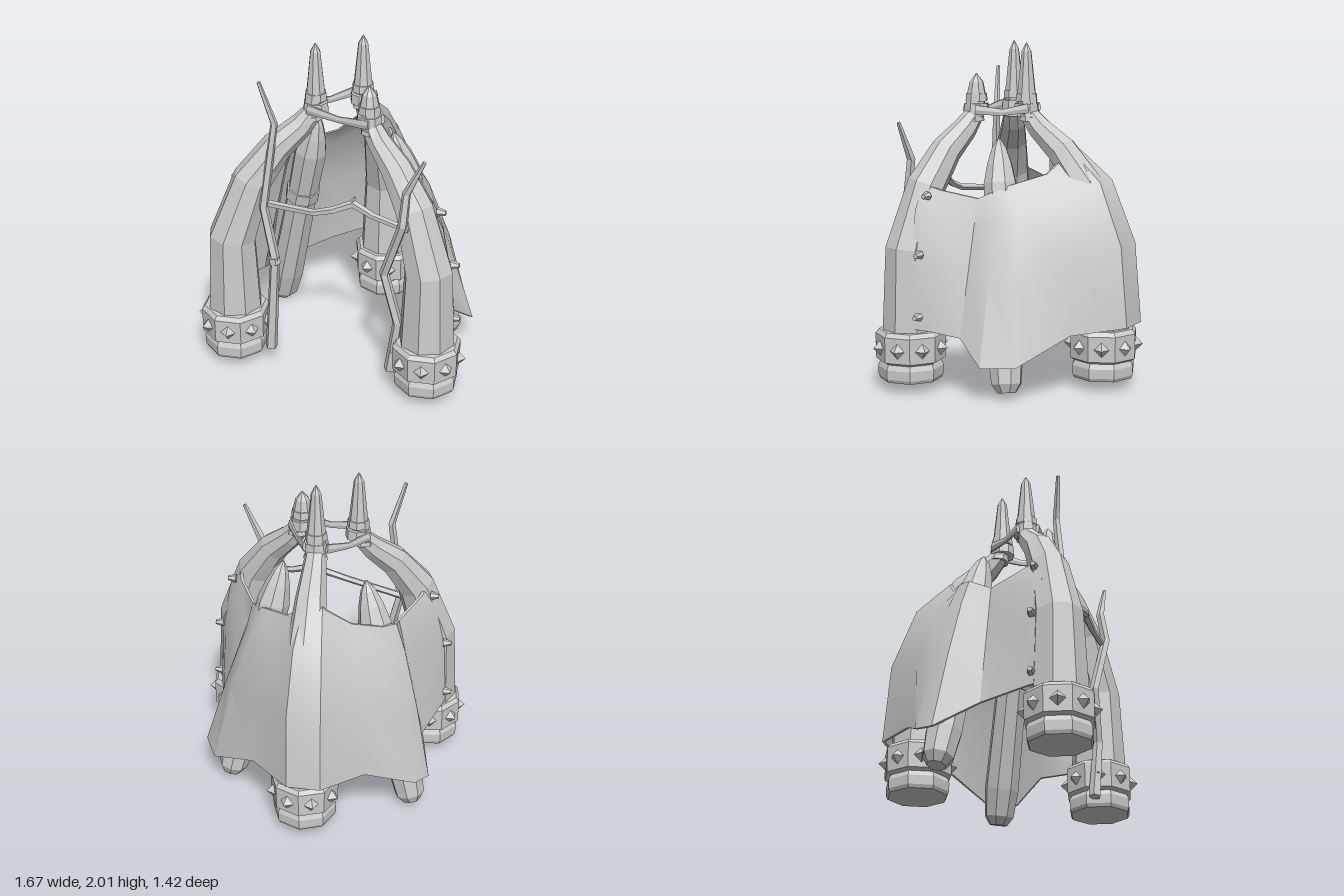
import * as THREE from 'three';
import { toCreasedNormals } from 'three/addons/utils/BufferGeometryUtils.js';

const flat = new THREE.MeshStandardMaterial({ color: 0xcccccc, flatShading: true });
const smooth = new THREE.MeshStandardMaterial({ color: 0xcccccc, side: THREE.DoubleSide });
const V = (x, y, z) => new THREE.Vector3(x, y, z);

function add(parent, name, geometry, material = flat) {
  const mesh = new THREE.Mesh(geometry, material);
  mesh.name = name;
  parent.add(mesh);
  return mesh;
}

// Joins closed cross-sections into a capped skin
function stitch(rings) {
  const n = rings[0].length, idx = [], last = (rings.length - 1) * n;
  for (let i = 0; i < rings.length - 1; i++) {
    for (let j = 0; j < n; j++) {
      const a = i * n + j, b = i * n + (j + 1) % n;
      idx.push(a, b, b + n, a, b + n, a + n);
    }
  }
  for (let j = 1; j < n - 1; j++) idx.push(0, j + 1, j, last, last + j, last + j + 1);
  const g = new THREE.BufferGeometry().setFromPoints(rings.flat());
  g.setIndex(idx);
  const out = g.toNonIndexed();
  out.computeVertexNormals();
  return out;
}

// Bent, tapering limb through [x, y, z, radius] stations
function limb(stations, sides = 8, squash = 1) {
  const p = stations.map(s => V(s[0], s[1], s[2]));
  const span = p[p.length - 1].clone().sub(p[0]).normalize();
  const ref = Math.abs(span.y) > 0.6 ? V(0, 0, 1) : V(0, 1, 0);
  return stitch(p.map((c, i) => {
    const t = p[Math.min(i + 1, p.length - 1)].clone().sub(p[Math.max(i - 1, 0)]).normalize();
    const u = ref.clone().cross(t).normalize(), v = t.clone().cross(u);
    return Array.from({ length: sides }, (_, j) => {
      const a = j / sides * Math.PI * 2, r = stations[i][3];
      return c.clone().addScaledVector(u, Math.cos(a) * r * squash).addScaledVector(v, Math.sin(a) * r);
    });
  }));
}

// Tusk: curved horn, studded foot cuff and bindings near the tip
function tusk(parent, name, base, top, tipY, turn) {
  const g = new THREE.Group();
  g.name = name;
  parent.add(g);
  const at = (y, f, r) => [base[0] + (top[0] - base[0]) * f, y, base[1] + (top[1] - base[1]) * f, r];
  add(g, 'horn', limb([
    at(0.2, 0, 0.165), at(0.36, 0, 0.165), at(0.82, 0, 0.143), at(1.18, 0.25, 0.115),
    at(1.38, 0.55, 0.092), at(1.5, 0.83, 0.072), at(1.58, 0.96, 0.06), at(1.7, 1, 0.057),
    at(tipY - 0.05, 1, tipY > 1.9 ? 0.03 : 0.042), at(tipY, 1, 0.003)]));

  const foot = new THREE.Group();
  foot.name = 'footCuff';
  foot.position.set(base[0], 0, base[1]);
  foot.rotation.y = turn;
  g.add(foot);
  const profile = [[0, 0.055], [0.18, 0.055], [0.19, 0.075], [0.192, 0.13], [0.178, 0.16],
    [0.203, 0.175], [0.205, 0.325], [0.185, 0.35], [0.12, 0.355]];
  add(foot, 'cuff', new THREE.LatheGeometry(profile.map(q => new THREE.Vector2(...q)), 8));
  for (let i = 0; i < 8; i++) {
    const arm = new THREE.Group();
    arm.rotation.y = (i + 0.5) * Math.PI / 4;
    foot.add(arm);
    const spike = add(arm, 'cuffSpike', new THREE.ConeGeometry(0.05, 0.05, 4));
    spike.rotation.x = Math.PI / 2;
    spike.position.set(0, 0.25, 0.208);
  }
  for (const [y, f, r, h] of [[1.555, 0.94, 0.072, 0.025], [1.615, 1, 0.077, 0.06], [1.68, 1, 0.067, 0.045]]) {
    const c = at(y, f);
    const ring = add(g, 'tipBinding', new THREE.CylinderGeometry(r * 0.94, r, h, 8));
    ring.position.set(c[0], y, c[2]);
  }
}

// Leaning, sharpened log with a binding at mid height
function log(parent, name, foot, tip) {
  const g = new THREE.Group();
  g.name = name;
  parent.add(g);
  const a = V(...foot), b = V(...tip);
  const at = (t, r) => [...a.clone().lerp(b, t).toArray(), r];
  add(g, 'shaft', limb([at(0.005, 0.055), at(0.04, 0.09), at(0.15, 0.105), at(0.6, 0.095), at(0.82, 0.1),
    at(0.9, 0.075), at(0.96, 0.045), at(1, 0.008)], 8));
  add(g, 'logBinding', limb([at(0.57, 0.106), at(0.62, 0.106)], 8));
}

export function createModel() {
  const model = new THREE.Group();
  model.name = 'tuskTent';

  tusk(model, 'backTusk', [0.025, -0.505], [0.04, 0], 2, 0);
  tusk(model, 'rightTusk', [-0.61, 0.47], [-0.175, 0.2], 2, -0.25);
  tusk(model, 'leftTusk', [0.6, 0.47], [0.17, 0.265], 1.82, -0.25);

  log(model, 'rightLog', [-0.59, 0, -0.22], [-0.26, 1.43, -0.04]);
  log(model, 'leftLog', [0.56, 0.02, -0.15], [0.25, 1.45, 0.07]);

  // Straps tying the three tips together
  const straps = [
    [[-0.2, 1.62, 0.275, 0.032], [0, 1.595, 0.295, 0.022], [0.19, 1.61, 0.335, 0.032]],
    [[0.1, 1.62, -0.045, 0.032], [0.165, 1.595, 0.09, 0.022], [0.24, 1.61, 0.235, 0.032]],
    [[-0.03, 1.62, -0.045, 0.032], [-0.14, 1.595, 0.06, 0.022], [-0.245, 1.61, 0.165, 0.032]]];
  for (const s of straps) add(model, 'tipStrap', limb(s, 6, 0.4));

  // Branch frame of the entrance
  add(model, 'rightBranch', limb([[-0.37, 0.1, 0.5, 0.037], [-0.33, 0.73, 0.5, 0.03], [-0.405, 1.05, 0.47, 0.028],
    [-0.345, 1.57, 0.42, 0.022], [-0.42, 1.83, 0.45, 0.012]], 5));
  add(model, 'leftBranch', limb([[0.38, 0.1, 0.48, 0.037], [0.43, 0.45, 0.5, 0.03], [0.345, 0.77, 0.5, 0.03],
    [0.47, 1.14, 0.56, 0.028], [0.48, 1.33, 0.53, 0.026], [0.585, 1.55, 0.545, 0.012]], 5));
  add(model, 'crossBranch', limb([[-0.42, 1.06, 0.44, 0.022], [-0.07, 1.1, 0.52, 0.02], [0.04, 1.135, 0.515, 0.022],
    [0.155, 1.185, 0.49, 0.026], [0.28, 1.14, 0.51, 0.02], [0.5, 1.11, 0.545, 0.018]], 5));
  add(model, 'twig', limb([[0.13, 1.17, 0.495, 0.018], [0.165, 1.225, 0.485, 0.008]], 5));
  add(model, 'branchKnot', limb([[-0.33, 0.7, 0.5, 0.036], [-0.335, 0.74, 0.5, 0.036]], 6));

  // Hide: columns of [top, bottom, outward bulge] from the left tusk round the back to the right
  const columns = [
    [[0.585, 1.2, 0.385], [0.735, 0.38, 0.385], 0.05],
    [[0.56, 1.17, 0.28], [0.705, 0.37, 0.28], 0.04],
    [[0.45, 1.12, 0.1], [0.66, 0.34, 0.1], 0],
    [[0.39, 1.18, -0.02], [0.73, 0.2, -0.07], 0.02],
    [[0.31, 1.21, -0.1], [0.64, 0.2, -0.25], 0.05],
    [[0.18, 1.25, -0.21], [0.35, 0.35, -0.45], 0.08],
    [[0.06, 1.38, -0.31], [0.1, 0.37, -0.69], 0.14],
    [[-0.05, 1.38, -0.31], [-0.1, 0.37, -0.69], 0.14],
    [[-0.21, 1.25, -0.24], [-0.33, 0.35, -0.47], 0.08],
    [[-0.38, 1.2, -0.16], [-0.62, 0.22, -0.33], 0.03],
    [[-0.45, 1.18, -0.08], [-0.69, 0.2, -0.22], 0.02],
    [[-0.45, 1.12, 0.05], [-0.62, 0.34, 0.03], 0],
    [[-0.56, 1.17, 0.28], [-0.7, 0.37, 0.28], 0.04],
    [[-0.585, 1.2, 0.385], [-0.735, 0.38, 0.385], 0.05]];
  const rows = [[0, 0], [0.17, 0.95], [0.53, 1], [1, 0]];
  const rings = columns.map(([top, bottom, bulge]) => {
    const out = V(bottom[0], 0, bottom[2] * (bottom[2] > 0 ? 0.3 : 1)).normalize();
    const outer = rows.map(([t, w]) => V(...top).lerp(V(...bottom), t).addScaledVector(out, bulge * w));
    const inner = outer.map(q => q.clone().addScaledVector(out, -0.018)).reverse();
    return [...outer, ...inner];
  });
  add(model, 'hideCover', toCreasedNormals(stitch(rings), 0.5), smooth);

  // Pegs pinning the hide to the front tusks
  for (const s of [-1, 1]) {
    for (const [x, y] of [[0.63, 1.14], [0.72, 0.81], [0.735, 0.45]]) {
      const peg = add(model, 'hidePeg', new THREE.CylinderGeometry(0.015, 0.027, 0.05, 6));
      peg.position.set(s * x, y, 0.34);
      peg.rotation.z = -s * Math.PI / 2;
    }
  }
  return model;
}
